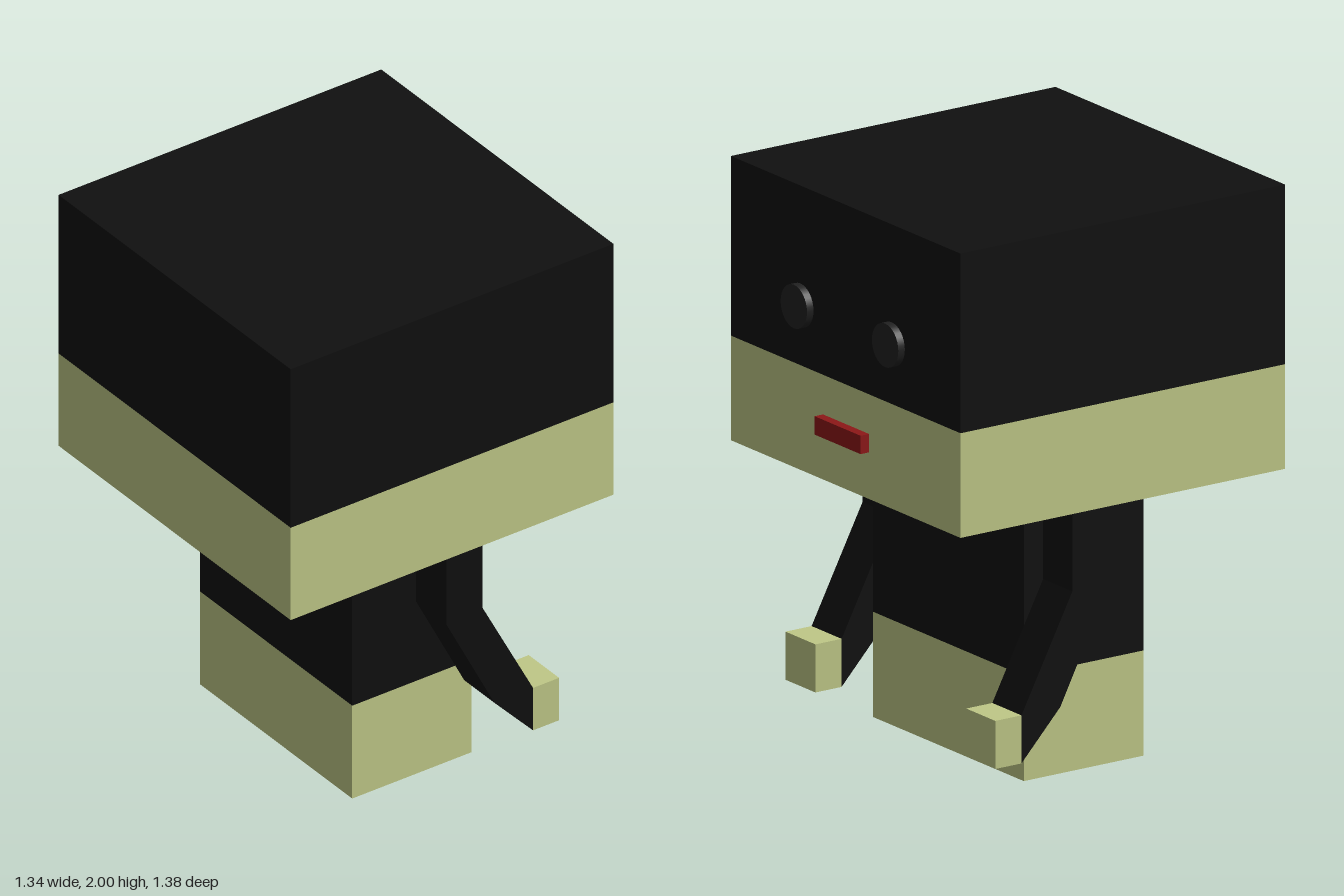
import * as THREE from 'three';

const mat = (color) => new THREE.MeshStandardMaterial({ color });

export function createModel() {
  const group = new THREE.Group();
  const black = mat(0x101010), skin = mat(0xbfc887), red = mat(0x8e1818), eyeGrey = mat(0x202020);

  const add = (name, geometry, material) => {
    const mesh = new THREE.Mesh(geometry, material);
    mesh.name = name;
    group.add(mesh);
    return mesh;
  };

  // Box given by its extents along each axis
  const box = (name, material, [x0, x1], [y0, y1], [z0, z1]) =>
    add(name, new THREE.BoxGeometry(x1 - x0, y1 - y0, z1 - z0), material)
      .position.set((x0 + x1) / 2, (y0 + y1) / 2, (z0 + z1) / 2);

  // Head: pale lower face with a dark upper part
  const headX = [-0.672, 0.668], headZ = [-0.652, 0.688];
  box('lowerFace', skin, headX, [0.995, 1.365], headZ);
  box('upperHead', black, headX, [1.365, 2], headZ);

  // Torso and legs block
  const bodyX = [-0.445, 0.435], bodyZ = [-0.23, 0.265];
  box('legs', skin, bodyX, [0, 0.372], bodyZ);
  box('torso', black, bodyX, [0.372, 0.995], bodyZ);

  // Mouth and round eyes, on the -z face
  box('mouth', red, [-0.138, 0.13], [1.16, 1.225], [-0.687, -0.652]);
  for (const [name, x] of [['leftEye', 0.263], ['rightEye', -0.27]]) {
    const eye = new THREE.CylinderGeometry(0.077, 0.077, 0.027, 32).rotateX(Math.PI / 2);
    add(name, eye, eyeGrey).position.set(x, 1.577, -0.6655);
  }

  // Bent arms: side profile as (-z, y), extruded across x, with block hands
  const profile = [[0, 0.995], [0, 0.69], [0.2, 0.3], [0.36, 0.13], [0.36, 0.3], [0.15, 0.7], [0.15, 0.995]];
  const armShape = new THREE.Shape(profile.map(([a, b]) => new THREE.Vector2(a, b)));
  for (const [side, x0, x1] of [['left', 0.435, 0.61], ['right', -0.615, -0.445]]) {
    const arm = new THREE.ExtrudeGeometry(armShape, { depth: x1 - x0, bevelEnabled: false });
    add(side + 'Arm', arm.rotateY(Math.PI / 2), black).position.x = x0;
    box(side + 'Hand', skin, [x0, x1], [0.13, 0.3], [-0.468, -0.36]);
  }

  return group;
}
